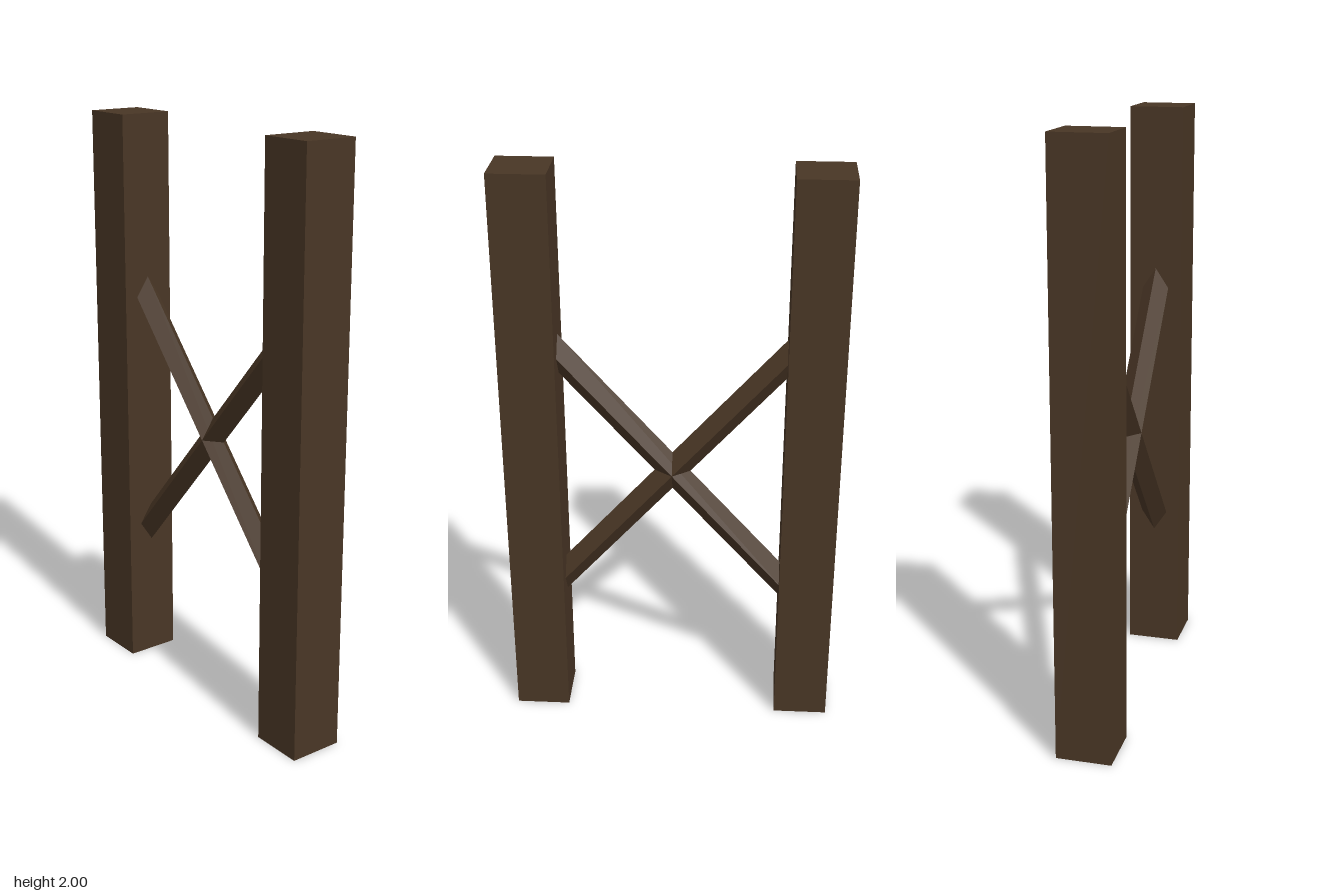
import * as THREE from 'three';

export function createModel() {
  const model = new THREE.Group();
  model.name = 'crossBracedPosts';
  const wood = new THREE.MeshStandardMaterial({ color: 0x493625, flatShading: true });
  wood.name = 'darkWood';

  const postWidth = 0.187, postZ = 0.47, braceY = 0.944;
  const postGeometry = new THREE.BoxGeometry(postWidth, 2, postWidth);
  // Square bar turned on edge: a four-sided cylinder with corners on x and z
  const braceGeometry = new THREE.CylinderGeometry(0.046, 0.046, 1.24, 4);

  for (const side of [1, -1]) {
    const end = side > 0 ? 'front' : 'back';

    // Upright post
    const post = new THREE.Mesh(postGeometry, wood);
    post.name = end + 'Post';
    post.position.set(0, 1, side * postZ);
    model.add(post);

    // Diagonal brace rising toward this post, its ends let into both posts
    const brace = new THREE.Mesh(braceGeometry, wood);
    brace.name = end + 'RisingBrace';
    brace.position.y = braceY;
    brace.rotation.x = side * Math.atan2(0.377, 0.426);
    model.add(brace);
  }
  return model;
}
